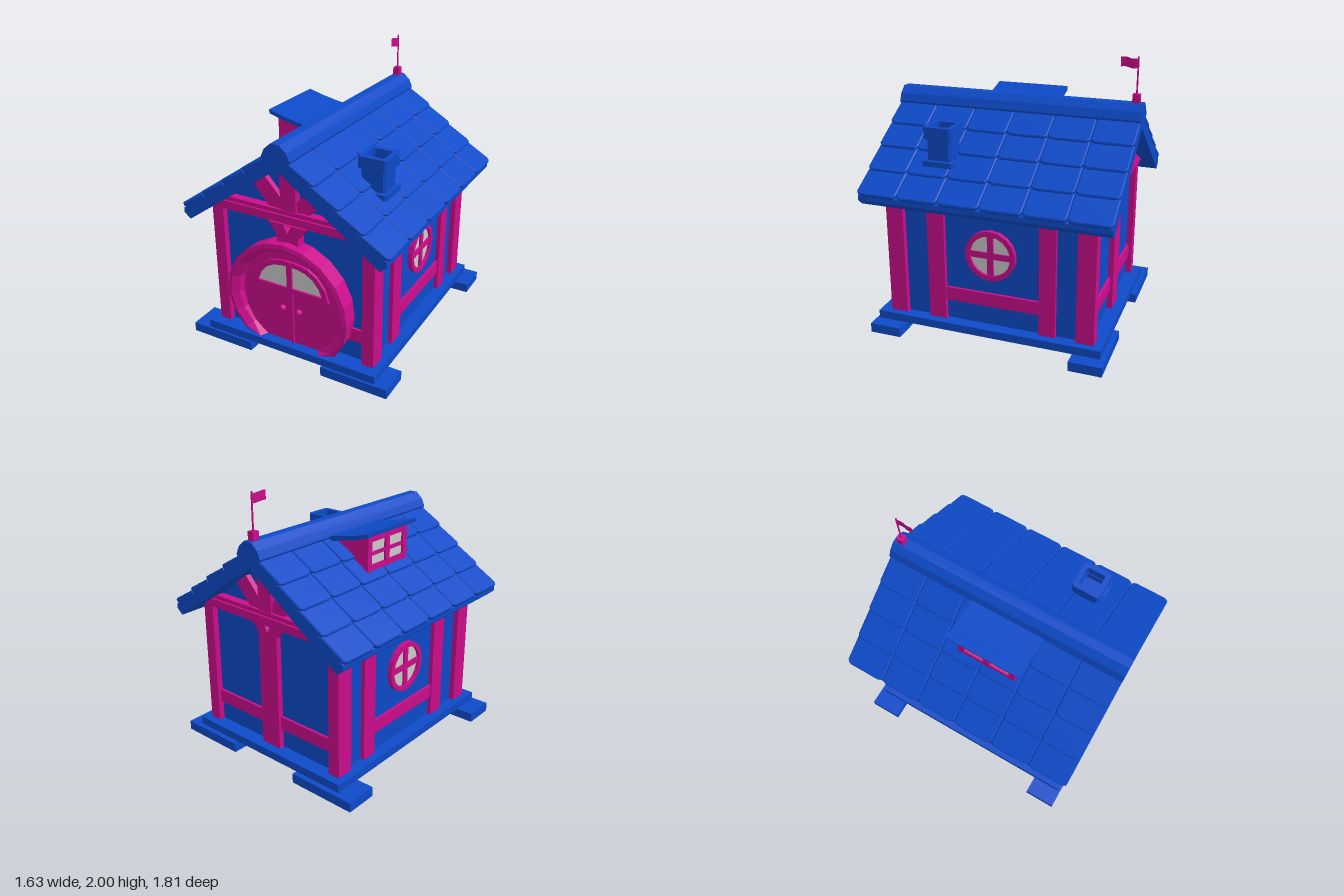
import * as THREE from 'three';

const mat = (color) => new THREE.MeshStandardMaterial({ color, flatShading: true, side: THREE.DoubleSide });
const BLUE = mat(0x0d4ac8), PINK = mat(0xcc0d8c), GREY = mat(0xcccccc);

function add(parent, name, geo, material) {
  const m = new THREE.Mesh(geo, material);
  m.name = name;
  parent.add(m);
  return m;
}
// box given by its limits on each axis
function box(parent, name, material, x0, x1, y0, y1, z0, z1) {
  const m = add(parent, name, new THREE.BoxGeometry(x1 - x0, y1 - y0, z1 - z0), material);
  m.position.set((x0 + x1) / 2, (y0 + y1) / 2, (z0 + z1) / 2);
  return m;
}
// polygon in x/y with optional holes, extruded from z0 to z1
const vecs = (pts) => pts.map(([x, y]) => new THREE.Vector2(x, y));
function slab(parent, name, material, pts, z0, z1, holes = []) {
  const s = new THREE.Shape(vecs(pts));
  holes.forEach((h) => s.holes.push(new THREE.Path(vecs(h))));
  const g = new THREE.ExtrudeGeometry(s, { depth: z1 - z0, bevelEnabled: false });
  return add(parent, name, g.translate(0, 0, z0), material);
}
const mirrored = (half) => [...half, ...half.filter((p) => p[0] !== 0).reverse().map(([x, y]) => [-x, y])];
function edit(geo, fn) {
  const p = geo.attributes.position, v = new THREE.Vector3();
  for (let i = 0; i < p.count; i++) {
    fn(v.fromBufferAttribute(p, i));
    p.setXYZ(i, v.x, v.y, v.z);
  }
  geo.computeVertexNormals();
  return geo;
}

function buildBase(g) {
  box(g, 'basePlate', BLUE, -0.69, 0.69, 0.07, 0.13, -0.83, 0.85);
  for (const [x0, x1] of [[-0.82, -0.305], [0.28, 0.79]])
    for (const z of [-0.75, 0.75]) box(g, 'foot', BLUE, x0, x1, 0, 0.07, z - 0.118, z + 0.118);
}

// timber frame of one gable end, facing +z
function buildGable(g, back) {
  const low = back ? 0.13 : 0.85;
  for (const s of [-1, 1]) {
    slab(g, 'brace', PINK, [[0.29, 1.32], [0.19, 1.385], [0.05, 1.23], [0.05, 1.16], [0.15, 1.16]]
      .map(([x, y]) => [x * s, y]), 0.7, 0.765);
  }
  box(g, 'kingPost', PINK, -0.06, 0.06, 1.15, 1.52, 0.7, 0.78);
  box(g, 'tieBeam', PINK, -0.635, 0.635, 1.07, 1.17, 0.7, 0.785);
  box(g, 'tieBeamMoulding', PINK, -0.635, 0.635, 1.1, 1.14, 0.7, 0.8);
  box(g, 'lowerBeam', PINK, -0.56, 0.56, 0.28, 0.38, 0.7, 0.745);
  slab(g, 'bracket', PINK, mirrored([[0.085, low], [0.085, 0.99], [0.15, 1.075]]), 0.7, back ? 0.765 : 0.8,
    [[[-0.03, 1.07], [0.03, 1.07], [0, 1.01]]]);
}

// timber frame and round window of one side wall, facing +x
function buildSide(g, s) {
  const part = new THREE.Group();
  part.name = 'sideWallFrame';
  g.add(part);
  const X = (name, y0, y1, z0, z1, x0, x1) =>
    box(part, name, PINK, Math.min(s * x0, s * x1), Math.max(s * x0, s * x1), y0, y1, z0, z1);
  X('cornerPost', 0.13, 1.09, 0.64, 0.77, 0.55, 0.64);
  X('cornerPost', 0.13, 1.09, -0.77, -0.64, 0.55, 0.64);
  X('sidePost', 0.13, 1.09, 0.33, 0.46, 0.57, 0.63);
  X('sidePost', 0.13, 1.09, -0.49, -0.37, 0.57, 0.63);
  X('sideBeam', 0.28, 0.38, -0.38, 0.34, 0.57, 0.62);
  const w = new THREE.Group();
  w.name = 'roundWindow';
  w.position.set(s * 0.6, 0.675, -0.015);
  w.rotation.y = s * Math.PI / 2;
  part.add(w);
  const rim = [[0.15, -0.02], [0.186, -0.02], [0.186, 0.035], [0.15, 0.035], [0.15, -0.02]];
  add(w, 'windowRim', new THREE.LatheGeometry(vecs(rim), 18).rotateX(Math.PI / 2), PINK);
  add(w, 'windowPane', new THREE.CylinderGeometry(0.155, 0.155, 0.03, 18).rotateX(Math.PI / 2), GREY);
  box(w, 'windowBar', PINK, -0.022, 0.022, -0.155, 0.155, 0, 0.028);
  box(w, 'windowBar', PINK, -0.155, 0.155, -0.022, 0.022, 0, 0.027);
}

function buildDoor(g) {
  const d = new THREE.Group();
  d.name = 'door';
  g.add(d);
  const cy = 0.47, floor = 0.13;
  // round surround, cut by the floor and thinner towards its feet
  const profile = [[0.472, 0.7], [0.482, 0.858], [0.452, 0.866], [0.41, 0.825], [0.395, 0.76]];
  const ring = new THREE.LatheGeometry(vecs(profile), 16, Math.PI * 0.18, Math.PI * 1.64).rotateX(Math.PI / 2);
  add(d, 'doorSurround', edit(ring, (v) => {
    v.y = Math.max(floor, v.y + cy);
    if (v.z > 0.8) v.z -= 0.035 * THREE.MathUtils.clamp((0.42 - v.y) / 0.3, 0, 1);
  }), PINK);
  const leaf = new THREE.CylinderGeometry(0.405, 0.405, 0.08, 24).rotateX(Math.PI / 2);
  add(d, 'doorLeaf', edit(leaf, (v) => { v.y = Math.max(floor, v.y + cy); v.z += 0.74; }), PINK);
  // half-round light with two panes
  const pane = [[0.02, 0.585], [0.262, 0.585], [0.235, 0.65], [0.19, 0.705], [0.13, 0.74], [0.07, 0.755], [0.02, 0.757]];
  const flip = pane.map(([x, y]) => [-x, y]);
  slab(d, 'doorWindowFrame', PINK,
    mirrored([[0.31, 0.55], [0.28, 0.65], [0.22, 0.73], [0.15, 0.775], [0.05, 0.793]]), 0.77, 0.8, [pane, flip]);
  slab(d, 'doorPane', GREY, pane, 0.77, 0.785);
  slab(d, 'doorPane', GREY, flip, 0.77, 0.785);
  box(d, 'doorBatten', PINK, -0.002, 0.02, floor, 0.55, 0.77, 0.795);
  for (const x of [-0.06, 0.072]) {
    const k = add(d, 'doorKnob', new THREE.SphereGeometry(0.024, 10, 8), PINK);
    k.position.set(x, 0.41, 0.8);
  }
}

function buildRoof(g) {
  const slope = 0.71, angle = Math.atan(slope);
  slab(g, 'roofDeck', BLUE, [[0, 1.62], [0.785, 1.063], [0.787, 1.03], [0.737, 0.987], [0, 1.51],
    [-0.737, 0.987], [-0.787, 1.03], [-0.785, 1.063]], -0.9, 0.9);
  slab(g, 'ridgeCap', BLUE, mirrored([[0.0, 1.54], [0.09, 1.545], [0.108, 1.585], [0.083, 1.64], [0.033, 1.685]]),
    -0.905, 0.905);
  // tile with clipped lower corners, tilted so each row overlaps the next
  const L = 0.2152, b = 0.007, w = 0.149 - b, c = 0.022;
  const tile = new THREE.ExtrudeGeometry(new THREE.Shape(vecs([[-0.01, -w], [L - b - c, -w], [L - b - 0.006, -w + 0.012],
    [L - b, -w + c + 0.008], [L - b, w - c - 0.008], [L - b - 0.006, w - 0.012], [L - b - c, w], [-0.01, w]])),
  { depth: 0.02, bevelThickness: b, bevelSize: b, bevelSegments: 1 });
  tile.rotateX(-Math.PI / 2).rotateZ(0.085);
  for (const s of [0, 1]) {
    const turn = new THREE.Group(), half = new THREE.Group();
    turn.name = 'roofSide';
    half.name = 'tileRows';
    turn.rotation.y = s * Math.PI;
    half.position.y = 1.615;
    half.rotation.z = -angle;
    turn.add(half);
    g.add(turn);
    for (let r = 0; r < 4; r++)
      for (let i = 0; i < 6; i++)
        add(half, 'roofTile', tile, BLUE).position.set(0.107 + r * L, -0.005, -0.755 + i * 0.302);
  }
}

function buildChimney(g) {
  const c = new THREE.Group();
  c.name = 'chimney';
  c.position.set(0.463, 0, 0.387);
  g.add(c);
  // square hollow tube with clipped corners
  const square = (r, k) => [[r - k, -r], [r, -r + k], [r, r - k], [r - k, r], [-r + k, r], [-r, r - k], [-r, -r + k], [-r + k, -r]];
  const tube = (name, r, hole, y0, y1) => {
    const m = slab(c, name, BLUE, square(r, 0.015), y0, y1, hole ? [square(hole, 0.01)] : []);
    m.rotation.x = -Math.PI / 2;
  };
  tube('chimneyStack', 0.088, 0.065, 1.2, 1.46);
  tube('chimneyCap', 0.106, 0.07, 1.45, 1.535);
  tube('chimneyFloor', 0.07, 0, 1.2, 1.4);
  tube('chimneyCollar', 0.117, 0, 1.258, 1.297);
}

function buildDormer(g) {
  const d = new THREE.Group();
  d.name = 'dormer';
  d.position.z = 0.042;
  g.add(d);
  slab(d, 'dormerBody', PINK, [[-0.375, 1.33], [-0.1, 1.5], [-0.1, 1.575], [-0.375, 1.62]], -0.22, 0.22);
  box(d, 'dormerPane', GREY, -0.383, -0.37, 1.4, 1.59, -0.19, 0.19);
  for (const z of [-0.2, 0, 0.2]) box(d, 'dormerUpright', PINK, -0.4, -0.36, 1.35, 1.62, z - 0.022, z + 0.022);
  for (const [y, h] of [[1.385, 0.03], [1.495, 0.012], [1.6, 0.02]])
    box(d, 'dormerRail', PINK, -0.397, -0.36, y - h, y + h, -0.21, 0.21);
  slab(d, 'dormerRoof', BLUE, [[-0.44, 1.665], [-0.33, 1.635], [-0.22, 1.612], [-0.09, 1.59], [-0.09, 1.55],
    [-0.22, 1.582], [-0.33, 1.605], [-0.435, 1.637]], -0.278, 0.278);
}

function buildFlag(g) {
  const f = new THREE.Group();
  f.name = 'flag';
  f.position.z = -0.852;
  g.add(f);
  box(f, 'flagSocket', PINK, -0.025, 0.025, 1.67, 1.745, -0.025, 0.025);
  const pole = add(f, 'flagPole', new THREE.CylinderGeometry(0.006, 0.006, 0.28, 8), PINK);
  pole.position.y = 1.86;
  const cloth = new THREE.PlaneGeometry(0.12, 0.066, 8, 1).rotateY(-Math.PI / 2);
  add(f, 'flagCloth', edit(cloth, (v) => {
    const t = v.z + 0.06;
    v.x = Math.sin(t * 50) * 0.006;
    v.y += 1.956 - Math.sin(t * 50) * 0.005;
    v.z = t;
  }), PINK);
}

export function createModel() {
  const g = new THREE.Group();
  g.name = 'cottage';
  buildBase(g);
  slab(g, 'walls', BLUE, [[-0.6, 0.13], [0.6, 0.13], [0.6, 1.09], [0, 1.52], [-0.6, 1.09]], -0.725, 0.725);
  for (const back of [false, true]) {
    const end = new THREE.Group();
    end.name = back ? 'backGable' : 'frontGable';
    end.rotation.y = back ? Math.PI : 0;
    buildGable(end, back);
    g.add(end);
  }
  for (const s of [-1, 1]) buildSide(g, s);
  buildDoor(g);
  buildRoof(g);
  buildChimney(g);
  buildDormer(g);
  buildFlag(g);
  return g;
}
